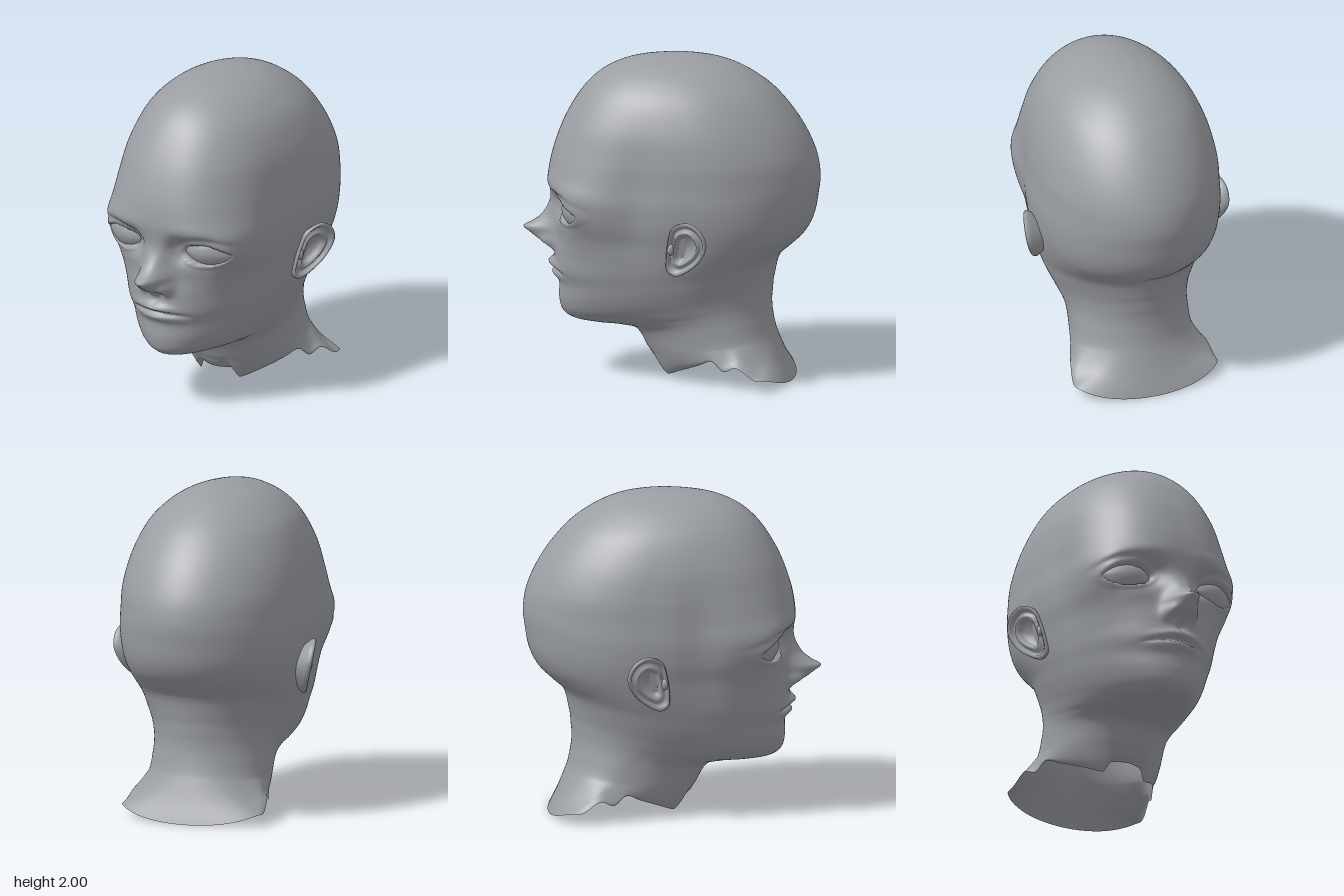
import * as THREE from 'three';

const skin = new THREE.MeshStandardMaterial({ color: 0x9a9da2, side: THREE.DoubleSide });
skin.name = 'mannequin grey';

// Ring tables, crown to neck: front and back midline points [z, y], half width, widest z, front squareness
const front = [
  -0.05, 2, 0.03, 1.997, 0.17, 1.985, 0.31, 1.95, 0.44, 1.88, 0.55, 1.77, 0.652, 1.6, 0.72, 1.42,
  0.75, 1.27, 0.745, 1.15, 0.72, 1.02, 0.7, 0.9, 0.715, 0.78, 0.72, 0.66, 0.69, 0.57, 0.69, 0.47,
  0.67, 0.39, 0.61, 0.345, 0.5, 0.33, 0.38, 0.327, 0.23, 0.3, 0.15, 0.18, 0.115, 0.09, 0.08, 0.02];
const back = [
  -0.05, 2, -0.12, 1.997, -0.23, 1.985, -0.37, 1.95, -0.51, 1.88, -0.65, 1.77, -0.785, 1.6, -0.875, 1.42,
  -0.905, 1.27, -0.895, 1.15, -0.87, 1.02, -0.82, 0.92, -0.74, 0.84, -0.68, 0.79, -0.655, 0.75, -0.64, 0.7,
  -0.63, 0.65, -0.62, 0.6, -0.615, 0.54, -0.61, 0.48, -0.615, 0.4, -0.64, 0.28, -0.695, 0.13, -0.755, 0.02];
const width = [0, 0.05, 0.123, 0.23, 0.34, 0.44, 0.515, 0.552, 0.563, 0.57, 0.56, 0.537,
  0.515, 0.492, 0.47, 0.447, 0.423, 0.402, 0.385, 0.372, 0.365, 0.37, 0.405, 0.46];
const widest = [-0.05, -0.05, -0.05, -0.05, -0.06, -0.1, -0.15, -0.2, -0.2, -0.2, -0.2, -0.2,
  -0.16, -0.13, -0.11, -0.11, -0.12, -0.14, -0.17, -0.21, -0.26, -0.33, -0.45, -0.58];
const square = [2, 2, 2, 2, 2.1, 2.2, 2.35, 2.5, 2.7, 2.9, 2.7, 2.4,
  2.2, 2.1, 2.05, 1.95, 1.85, 1.8, 1.85, 1.9, 2, 2, 1.8, 1.6];

// Smooth interpolation through a table
function track(values, size = 1, keys = values.map((_, i) => i).slice(0, values.length / size)) {
  const c = new THREE.CubicInterpolant(keys, values, size, new Float32Array(size));
  return (t) => c.evaluate(t);
}
const frontAt = track(front, 2), backAt = track(back, 2);
const widthAt = track(width), widestAt = track(widest), squareAt = track(square);

// Nose height down the midline, and the ragged lower edge of the neck by z
const noseAt = track([0, 0, 0.055, 0.115, 0.175, 0.21, 0.155, 0.095, 0.05, 0.01, 0, 0], 1,
  [0, 0.755, 0.795, 0.83, 0.87, 0.9, 0.93, 0.97, 1.02, 1.09, 1.16, 2]);
const edgeAt = track([0, 0.065, 0.07, 0.14, 0.11, 0.165, 0.13, 0.07, 0.025, 0.02], 1,
  [-0.755, -0.63, -0.55, -0.43, -0.35, -0.28, -0.2, -0.07, 0.02, 0.08]);

const bump = (x, y, cx, cy, sx, sy) => Math.exp(-(((x - cx) / sx) ** 2) - ((y - cy) / sy) ** 2);
const EYE = { x: 0.305, y: 1.065, w: 0.14, h: 0.064 };
const eyeMeasure = (u, v) => u * u + Math.abs(v) ** 1.5;

// Forward displacement that sculpts the face
function faceRelief(x, y) {
  const ax = Math.abs(x);
  let d = 0;
  // nose, wings and nostrils
  if (y > 0.75 && y < 1.17) {
    const nw = 0.088 - 0.01 * THREE.MathUtils.smoothstep(y, 0.92, 1);
    d += Math.max(0, noseAt(y)[0]) * Math.exp(-((ax / nw) ** 2.7));
  }
  d += 0.04 * bump(ax, y, 0.088, 0.825, 0.032, 0.04);
  d -= 0.03 * bump(ax, y, 0.048, 0.79, 0.024, 0.018);
  // brow, eye sockets, outer orbit and cheekbones
  d += 0.015 * bump(ax, y, 0.28, 1.21, 0.17, 0.06);
  d -= 0.075 * bump(ax, y, 0.28, 1.085, 0.13, 0.085);
  d -= 0.065 * bump(ax, y, 0.165, 1.08, 0.065, 0.075);
  d += 0.045 * bump(ax, y, 0.45, 1.1, 0.09, 0.15);
  d += 0.015 * bump(ax, y, 0.36, 0.9, 0.12, 0.08);
  // lips, mouth line and the hollows around them
  const my = y + 0.4 * x * x;
  d += 0.035 * bump(ax, my, 0, 0.69, 0.13, 0.025);
  d -= 0.024 * Math.exp(-((ax / 0.19) ** 6) - ((my - 0.656) / 0.012) ** 2);
  d += 0.024 * bump(ax, my, 0, 0.62, 0.12, 0.026);
  d -= 0.01 * bump(ax, y, 0, 0.735, 0.025, 0.025);
  // eyelids, lid fold and the recess that holds the eye
  const u = (ax - EYE.x) / EYE.w, v = (y - EYE.y) / EYE.h;
  const m = eyeMeasure(u, v);
  d += 0.014 * Math.exp(-(((m - 1.3) / 0.35) ** 2));
  if (v > 0) d -= 0.01 * Math.exp(-(((m - 2.3) / 0.4) ** 2)) * Math.min(1, v);
  if (m < 1) d -= 0.05 * Math.min(1, (1 - m) * 4);
  return d;
}

// Indexed surface from rows of points
function gridGeometry(rows, cols, point) {
  const pos = [], index = [];
  for (let i = 0; i <= rows; i++) for (let j = 0; j < cols; j++) pos.push(...point(i, j));
  for (let i = 0; i < rows; i++) for (let j = 0; j < cols; j++) {
    const a = i * cols + j, b = i * cols + (j + 1) % cols, c = a + cols, d = b + cols;
    index.push(a, c, b, b, c, d);
  }
  const g = new THREE.BufferGeometry();
  g.setAttribute('position', new THREE.Float32BufferAttribute(pos, 3));
  g.setIndex(index);
  g.computeVertexNormals();
  return g;
}

// Skull, face, jaw and neck as one skin of tilted rings
function headGeometry() {
  const last = width.length - 1, steps = 10, cols = 200;
  return gridGeometry(last * steps, cols, (i, j) => {
    const k = i / steps, s = (j / cols) * Math.PI * 2;
    const t = s - 0.42 * Math.sin(s);
    const [zf, yf] = frontAt(k), [zb, yb] = backAt(k);
    const w = widthAt(k)[0], zc = widestAt(k)[0];
    const sn = Math.sin(t), cs = Math.cos(t), n = cs > 0 ? squareAt(k)[0] : 1.97;
    const r = (Math.abs(sn) ** n + Math.abs(cs) ** n) ** (-1 / n);
    let x = w * sn * r;
    let z = zc + cs * r * (cs > 0 ? zf - zc : zc - zb);
    const f = zf - zb > 1e-5 ? (z - zb) / (zf - zb) : 0;
    let y = yb + (yf - yb) * f;
    // hollow temples
    x -= Math.sign(x) * 0.03 * bump(z, y, 0.18, 1.15, 0.14, 0.35) * Math.min(1, Math.abs(x) / 0.4);
    if (z > 0.2 && k < 17) z += faceRelief(x, y) * THREE.MathUtils.smoothstep(z, 0.2, 0.45);
    // ragged hem with a notch at the throat
    if (k > last - 2) {
      const notch = z > -0.1 ? 1 - THREE.MathUtils.smoothstep(Math.abs(x), 0.1, 0.145) : 0;
      const e = THREE.MathUtils.lerp(edgeAt(THREE.MathUtils.clamp(z, -0.755, 0.08))[0], 0.09, notch);
      y += ((k - last + 2) / 2) * (e - 0.02);
    }
    return [x, Math.max(0, y), z];
  });
}

// Averaged front depth of the skin at (x, y)
function depthAt(geometry, x, y) {
  const p = geometry.attributes.position;
  let sum = 0, total = 0;
  for (let i = 0; i < p.count; i++) {
    if (p.getZ(i) < 0.3) continue;
    const g = Math.exp(-((p.getX(i) - x) ** 2 + (p.getY(i) - y) ** 2) / 1e-4);
    sum += g * p.getZ(i);
    total += g;
  }
  return sum / total;
}

// Domed almond that fills the eye opening
function eyeGeometry(head) {
  const at = (u, v) => depthAt(head, EYE.x + u * EYE.w, EYE.y + v * EYE.h);
  const zi = at(-1, 0), zo = at(1, 0), zt = at(0, 1), zb = at(0, -1), mid = (zt + zb) / 2;
  return gridGeometry(10, 48, (i, j) => {
    const r = 1.04 * (1 - i / 10) + 1e-4, a = (-j / 48) * Math.PI * 2, s = Math.sin(a);
    const u = r * Math.cos(a), v = r * Math.sign(s) * Math.abs(s) ** (4 / 3);
    const z = mid + ((zo - zi) / 2) * u + ((zo + zi) / 2 - mid) * u * u + ((zt - zb) / 2) * v;
    return [EYE.x + u * EYE.w, EYE.y + v * EYE.h, z + 0.022 * (1 - r * r)];
  });
}

// Ear: shell from the hidden back, over the rim, into the hollow
function earGeometry() {
  const outline = new THREE.CatmullRomCurve3([
    [-0.03, 0.96], [-0.06, 1.05], [-0.15, 1.09], [-0.23, 1.05], [-0.27, 0.96],
    [-0.24, 0.865], [-0.17, 0.785], [-0.07, 0.73], [-0.02, 0.76], [-0.015, 0.84],
  ].map(([z, y]) => new THREE.Vector3(0, y, z)), true).getSpacedPoints(64);
  const profile = [[0.5, -0.09], [0.72, -0.06], [0.93, -0.024], [1, -0.008], [0.99, 0.006], [0.93, 0.012],
    [0.86, 0.004], [0.8, -0.014], [0.72, -0.014], [0.64, 0], [0.56, 0.002], [0.47, -0.02], [0.36, -0.04], [0.001, -0.045]];
  return gridGeometry(profile.length - 1, 64, (i, j) => {
    const [s, h] = profile[i];
    const z = -0.13 + s * (outline[j].z + 0.13), y = 0.92 + s * (outline[j].y - 0.92);
    return [0.535 - 0.38 * z + 0.2 * (y - 0.92) + h, y, z + h * 0.3];
  });
}

export function createModel() {
  const model = new THREE.Group();
  model.name = 'mannequinHead';
  const add = (name, geometry, side = 1) => {
    const mesh = new THREE.Mesh(geometry, skin);
    mesh.name = name;
    mesh.scale.x = side;
    model.add(mesh);
  };
  const head = headGeometry();
  add('headAndNeck', head);

  const eye = eyeGeometry(head), ear = earGeometry();
  const tragus = new THREE.SphereGeometry(1, 16, 12).scale(0.02, 0.035, 0.022).translate(0.547, 0.905, -0.045);
  for (const [label, side] of [['left', 1], ['right', -1]]) {
    add(label + 'Eye', eye, side);
    add(label + 'Ear', ear, side);
    add(label + 'EarFlap', tragus, side);
  }
  return model;
}
